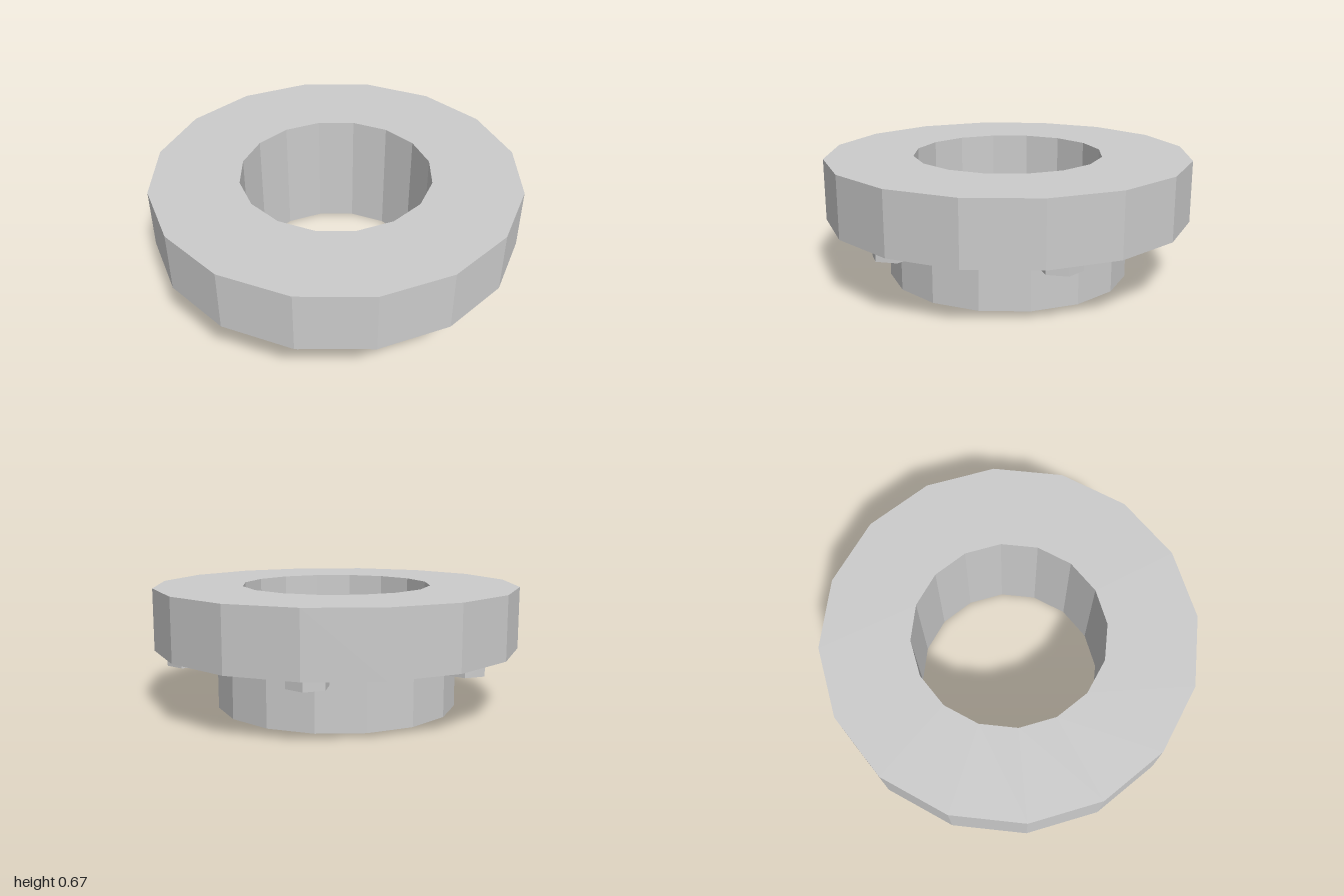
import * as THREE from 'three';

const SIDES = 16, BORE = 0.52, COLLAR = 0.665, RIM = 1;
const SEAT = 0.335, TOP = 0.67;
const BOLTS = 6, BOLT_CIRCLE = 0.835, BOLT_RADIUS = 0.11, BOLT_HEIGHT = 0.06;

const material = new THREE.MeshStandardMaterial({ color: 0xcccccc, flatShading: true });

// Faceted ring turned from a profile of [radius, height] pairs
function ring(name, profile) {
  const points = profile.map(([r, y]) => new THREE.Vector2(r, y));
  const mesh = new THREE.Mesh(new THREE.LatheGeometry(points, SIDES), material);
  mesh.name = name;
  return mesh;
}

export function createModel() {
  const model = new THREE.Group();
  model.name = 'boltedFlange';

  // Narrow lower collar, open where it meets the flange
  model.add(ring('collar', [[BORE, SEAT], [BORE, 0], [COLLAR, 0], [COLLAR, SEAT]]));

  // Wide upper flange with the bore running through it
  model.add(ring('flange', [[COLLAR, SEAT], [RIM, SEAT], [RIM, TOP], [BORE, TOP], [BORE, SEAT]]));

  // Hexagonal bolt heads under the flange
  const bolts = new THREE.Group();
  bolts.name = 'bolts';
  const head = new THREE.CylinderGeometry(BOLT_RADIUS, BOLT_RADIUS, BOLT_HEIGHT, 6);
  for (let i = 0; i < BOLTS; i++) {
    const angle = (i / BOLTS) * Math.PI * 2;
    const bolt = new THREE.Mesh(head, material);
    bolt.name = 'boltHead';
    bolt.position.set(
      Math.sin(angle) * BOLT_CIRCLE, SEAT - BOLT_HEIGHT / 2, Math.cos(angle) * BOLT_CIRCLE);
    bolts.add(bolt);
  }
  model.add(bolts);

  return model;
}
